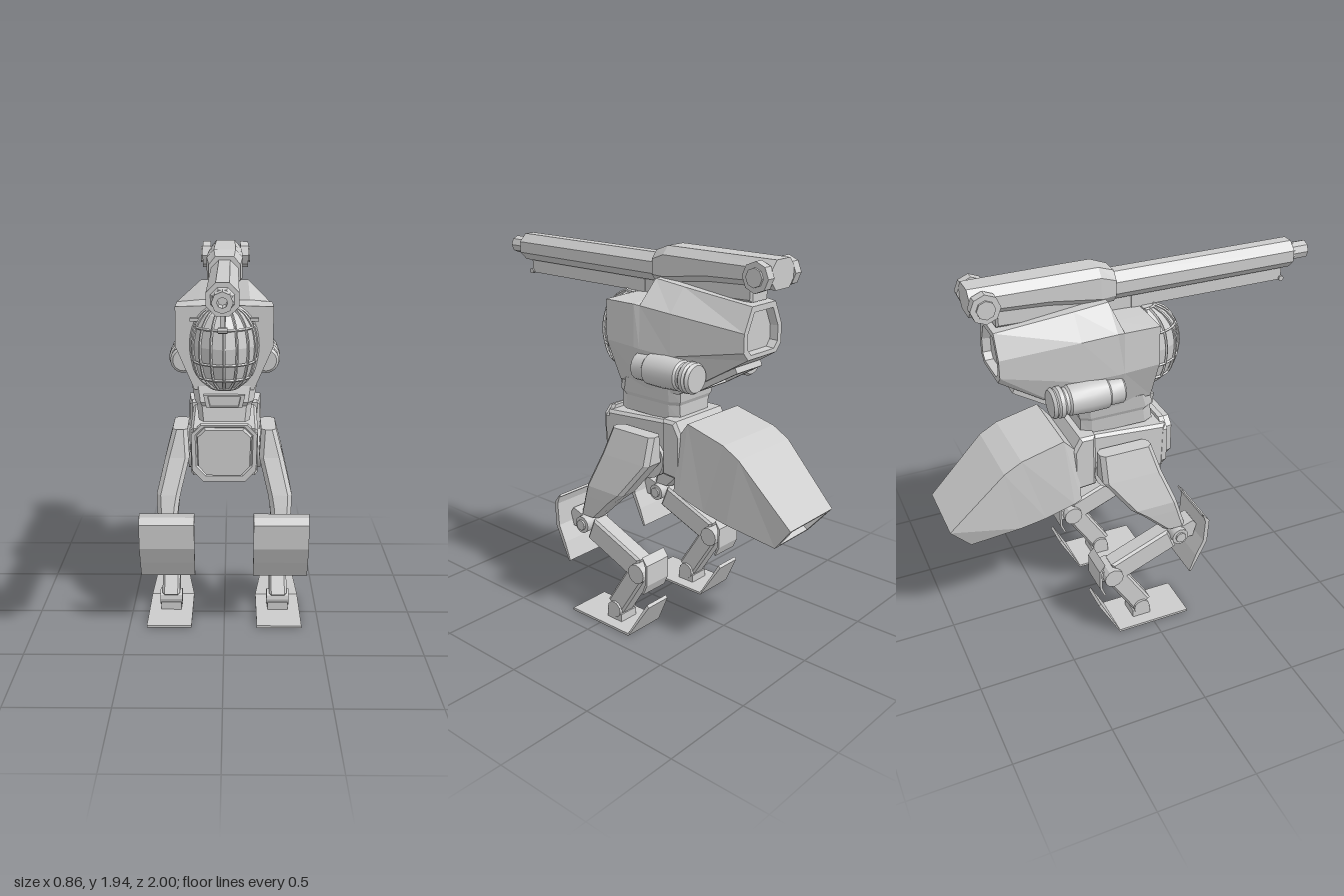
import * as THREE from 'three';
import { toCreasedNormals } from 'three/addons/utils/BufferGeometryUtils.js';

const mat = new THREE.MeshStandardMaterial({ color: 0xcccccc, flatShading: true, side: THREE.DoubleSide });
const smooth = new THREE.MeshStandardMaterial({ color: 0xcccccc, side: THREE.DoubleSide });

function add(parent, name, geo, m = mat) {
  const mesh = new THREE.Mesh(geo, m);
  mesh.name = name;
  parent.add(mesh);
  return mesh;
}

// Skin a list of equal-length rings of [x, y, z] and cap both ends
function loft(rings) {
  const tris = [], n = rings[0].length;
  for (let r = 0; r < rings.length - 1; r++)
    for (let i = 0; i < n; i++) {
      const j = (i + 1) % n, a = rings[r], b = rings[r + 1];
      tris.push([a[i], a[j], b[j]], [a[i], b[j], b[i]]);
    }
  const first = rings[0], last = rings[rings.length - 1];
  for (let i = 1; i < n - 1; i++)
    tris.push([first[0], first[i + 1], first[i]], [last[0], last[i], last[i + 1]]);
  // Turn the faces outward if the enclosed volume is negative
  const v = (p) => new THREE.Vector3(...p);
  const vol = tris.reduce((s, [a, b, c]) => s + v(a).dot(v(b).cross(v(c))), 0);
  if (vol < 0) tris.forEach((t) => t.reverse());
  const g = new THREE.BufferGeometry();
  g.setAttribute('position', new THREE.Float32BufferAttribute(tris.flat(2), 3));
  g.computeVertexNormals();
  return g;
}

// Mirror a half outline into a full ring
const mirrorRing = (half) => [...half, ...half.map(([x, y, z]) => [-x, y, z]).reverse()];

// Copy of a ring shrunk about its centre and shifted
function inset(ring, k, dy = 0, dz = 0) {
  const c = [0, 1, 2].map((a) => ring.reduce((s, p) => s + p[a], 0) / ring.length);
  return ring.map((p) => [c[0] + (p[0] - c[0]) * k, c[1] + (p[1] - c[1]) * k + dy, c[2] + (p[2] - c[2]) * k + dz]);
}

// Side profile of [z, y] points extruded across x, with a small chamfer
function side(profile, x, width, bevel = 0) {
  const shape = new THREE.Shape(profile.map((p) => new THREE.Vector2(...p)));
  const depth = width - 2 * bevel;
  const g = new THREE.ExtrudeGeometry(shape, { depth, bevelEnabled: bevel > 0, bevelSize: bevel, bevelOffset: -bevel, bevelThickness: bevel, bevelSegments: 1 });
  return g.rotateY(-Math.PI / 2).translate(x + depth / 2, 0, 0);
}

const box = (w, h, d, x, y, z) => new THREE.BoxGeometry(w, h, d).translate(x, y, z);
const rodX = (r, w, x, y, z, n = 16) => new THREE.CylinderGeometry(r, r, w, n).rotateZ(Math.PI / 2).translate(x, y, z);
const rodZ = (r1, r0, z0, z1, y, n = 8) =>
  new THREE.CylinderGeometry(r1, r0, z1 - z0, n).rotateY(Math.PI / n).rotateX(Math.PI / 2).translate(0, y, (z0 + z1) / 2);

// Limb segment: chamfered bar between two [z, y] joints
function limb(a, b, x, w, h) {
  const dz = b[0] - a[0], dy = b[1] - a[1], l = Math.hypot(dz, dy), nz = -dy / l * h / 2, ny = dz / l * h / 2;
  return side([[a[0] + nz, a[1] + ny], [b[0] + nz, b[1] + ny], [b[0] - nz, b[1] - ny], [a[0] - nz, a[1] - ny]], x, w, 0.012);
}

function buildTorso(g) {
  // Rows: z, roof x/y, shoulder x/y, waist x/y, belly x/y
  const hull = [
    [0.08, 0.10, 1.685, 0.245, 1.68, 0.245, 1.48, 0.15, 1.26],
    [-0.10, 0.13, 1.69, 0.245, 1.68, 0.245, 1.47, 0.16, 1.25],
    [-0.13, 0.12, 1.79, 0.235, 1.675, 0.24, 1.465, 0.16, 1.25],
    [-0.30, 0.115, 1.77, 0.21, 1.655, 0.21, 1.45, 0.15, 1.25],
    [-0.68, 0.09, 1.725, 0.145, 1.61, 0.145, 1.52, 0.11, 1.48],
  ].map(([z, ...p]) => mirrorRing([0, 2, 4, 6].map((i) => [p[i], p[i + 1], z])));
  const back = hull[4];
  add(g, 'torso', loft([...hull, inset(back, 0.8), inset(back, 0.76, 0, 0.04)]));

  // Hatch on the sloping underside
  const hatch = mirrorRing([[0.10, 1.43, -0.60], [0.125, 1.29, -0.36]]);
  add(g, 'rearHatch', loft([hatch, inset(hatch, 0.97, -0.025, -0.015), inset(hatch, 0.75, -0.025, -0.015), inset(hatch, 0.72, 0.003, 0)]));

  // Neck with chin panel
  const neck = [[1.28, 0.165, 0.08, -0.30], [1.20, 0.15, 0.105, -0.29], [1.18, 0.14, 0.095, -0.28], [1.10, 0.13, 0.11, -0.28]];
  add(g, 'neck', loft(neck.map(([y, x, zf, zb]) => mirrorRing([[x * 0.8, y, zf], [x, y, zf - 0.05], [x, y, zb + 0.05], [x * 0.8, y, zb]]))));
  const chin = mirrorRing([[0.105, 1.24, 0.09], [0.09, 1.175, 0.09]]);
  add(g, 'chinPanel', loft([chin, inset(chin, 1, 0, 0.03), inset(chin, 0.8, 0, 0.03), inset(chin, 0.78, 0, 0.018)]));

  // Side canisters
  const can = [[0, 0], [0.055, 0], [0.068, 0.012], [0.068, 0.08], [0.078, 0.09], [0.08, 0.18], [0.075, 0.28], [0.066, 0.29],
    [0.066, 0.305], [0.077, 0.315], [0.077, 0.335], [0.068, 0.345], [0.076, 0.355], [0.066, 0.37], [0, 0.37]];
  for (const s of [-1, 1]) {
    const geo = new THREE.LatheGeometry(can.map((p) => new THREE.Vector2(...p)), 18).rotateX(-Math.PI / 2).translate(s * 0.215, 1.375, -0.1);
    add(g, 'sideCanister', toCreasedNormals(geo, 0.6), smooth);
  }
}

function buildCockpit(g) {
  // Faceted half dome with an outer cage of ribs
  const prof = [[0, 1.28], [0.07, 1.28], [0.135, 1.34], [0.16, 1.42], [0.167, 1.5], [0.15, 1.59], [0.11, 1.65], [0.06, 1.685], [0, 1.685]];
  const kz = 1.2, z0 = 0.085, n = 8;
  const glass = new THREE.LatheGeometry(prof.map((p) => new THREE.Vector2(p[0] * 0.97, p[1])), n, -Math.PI / 2, Math.PI);
  add(g, 'cockpitDome', glass.scale(1, 1, kz).translate(0, 0, z0));
  const at = (r, y, a) => new THREE.Vector3(r * Math.sin(a), y, z0 + r * Math.cos(a) * kz);
  const rib = (pts) => add(g, 'cockpitRib', new THREE.TubeGeometry(new THREE.CatmullRomCurve3(pts), 16, 0.007, 4));
  const angles = [...Array(n + 1).keys()].map((i) => -Math.PI / 2 + i * Math.PI / n);
  angles.forEach((a) => rib(prof.slice(1, -1).map(([r, y]) => at(r, y, a))));
  [1, 2, 3, 5, 7].forEach((i) => rib(angles.map((a) => at(...prof[i], a))));
  // Short barbs at the brow and a stud above the dome
  for (const s of [-1, 1]) add(g, 'browBarb', box(0.04, 0.015, 0.03, s * 0.15, 1.62, 0.1));
  add(g, 'browStud', box(0.03, 0.07, 0.05, 0, 1.715, 0.06));
}

function buildGun(g) {
  add(g, 'barrel', rodZ(0.075, 0.075, -0.1, 0.9, 1.825));
  add(g, 'muzzleCollar', rodZ(0.045, 0.058, 0.89, 0.925, 1.825));
  const bore = [[0.02, 0], [0.045, 0], [0.045, 0.09], [0.022, 0.09], [0.02, 0]].map((p) => new THREE.Vector2(...p));
  add(g, 'muzzle', new THREE.LatheGeometry(bore, 8).rotateX(Math.PI / 2).translate(0, 1.825, 0.91));
  add(g, 'underRail', box(0.022, 0.09, 0.97, 0, 1.73, 0.385));
  add(g, 'railStop', rodX(0.014, 0.04, 0, 1.692, 0.87, 8));
  // Breech housing: rows of z, bottom, top, half width
  const rows = [[-0.07, 1.755, 1.91, 0.08], [-0.15, 1.755, 1.94, 0.092], [-0.4, 1.79, 1.94, 0.092], [-0.775, 1.805, 1.94, 0.085]];
  add(g, 'breech', loft(rows.map(([z, b, t, w]) => mirrorRing([[w * 0.6, t, z], [w, t - 0.04, z], [w, b + 0.04, z], [w * 0.6, b, z]]))));
  add(g, 'gunMount', side([[-0.12, 1.72], [-0.12, 1.79], [-0.3, 1.83], [-0.655, 1.83], [-0.655, 1.735]], 0, 0.13, 0.01));
  for (const s of [-1, 1]) {
    add(g, 'breechDrum', rodX(0.072, 0.045, s * 0.105, 1.865, -0.715, 8));
    add(g, 'drumCap', rodX(0.045, 0.02, s * 0.128, 1.865, -0.715, 8));
  }
}

function buildPelvis(g) {
  add(g, 'pelvis', side([[0.15, 0.83], [0.16, 1.08], [-0.25, 1.11], [-0.25, 0.86], [-0.1, 0.83]], 0, 0.34, 0.015));
  add(g, 'hipDrum', toCreasedNormals(rodX(0.105, 0.38, 0, 0.895, -0.135, 24), 0.6), smooth);
  // Framed octagonal front plate
  const face = mirrorRing([[0.12, 1.1, 0.14], [0.17, 1.05, 0.14], [0.165, 0.86, 0.14], [0.11, 0.8, 0.14]]);
  add(g, 'frontPlate', loft([face, inset(face, 0.98, 0, 0.03), inset(face, 0.86, 0.01, 0.03), inset(face, 0.82, 0.01, 0.022), inset(face, 0.78, 0.015, 0.07)]));
  // Tail mount and tail pod: rows of top z/y, bottom z/y, top and bottom half width
  add(g, 'tailMount', side([[-0.23, 0.83], [-0.23, 1.12], [-0.31, 1.12], [-0.35, 1.05], [-0.35, 0.82]], 0, 0.38, 0.015));
  const pod = [
    [-0.32, 1.04, -0.32, 0.77, 0.17, 0.2], [-0.40, 1.135, -0.36, 0.76, 0.195, 0.21],
    [-0.62, 1.08, -0.51, 0.71, 0.2, 0.2], [-0.71, 1.03, -0.64, 0.68, 0.2, 0.19], [-0.995, 0.75, -0.89, 0.62, 0.175, 0.14],
  ].map(([tz, ty, bz, by, tw, bw]) => mirrorRing([[tw, ty, tz], [bw, by, bz]]));
  const end = pod[4];
  add(g, 'tailPod', loft([...pod, inset(end, 0.82), inset(end, 0.78, 0.05, 0.06)]));
}

function buildLeg(s) {
  const leg = new THREE.Group();
  leg.name = s > 0 ? 'leftLeg' : 'rightLeg';
  const x = s * 0.29;
  // Thigh: rows of y, front z, back z, inner x, outer x
  const rows = [[1.04, 0.04, -0.235, 0.19, 0.268], [0.9, 0.08, -0.235, 0.18, 0.305], [0.72, 0.15, -0.1, 0.225, 0.348], [0.66, 0.17, -0.03, 0.235, 0.345], [0.54, 0.21, 0.09, 0.245, 0.335]];
  add(leg, 'thigh', loft(rows.map(([y, f, b, i, o]) => {
    const c = 0.022;
    return [[i, f - c], [i + c, f], [o - c, f], [o, f - c], [o, b + c], [o - c, b], [i + c, b], [i, b + c]].map(([px, z]) => [s * px, y, z]);
  })));
  add(leg, 'kneeJoint', toCreasedNormals(rodX(0.045, 0.15, x, 0.495, 0.165), 0.6), smooth);
  add(leg, 'kneePin', rodX(0.028, 0.17, x, 0.495, 0.165, 10));
  add(leg, 'kneeBracket', side([[0.16, 0.53], [0.25, 0.56], [0.27, 0.53], [0.25, 0.46], [0.16, 0.46]], x, 0.1));
  add(leg, 'kneeGuard', side([[0.25, 0.65], [0.295, 0.61], [0.287, 0.48], [0.245, 0.39], [0.2, 0.3], [0.19, 0.305],
    [0.225, 0.4], [0.265, 0.485], [0.273, 0.605], [0.255, 0.66]].reverse(), x, 0.28));
  add(leg, 'upperShin', limb([0.13, 0.475], [-0.19, 0.345], x, 0.1, 0.13));
  add(leg, 'hockJoint', rodX(0.052, 0.14, x, 0.335, -0.21, 12));
  add(leg, 'hockBracket', box(0.07, 0.06, 0.08, x, 0.335, -0.25));
  add(leg, 'hockGuard', side([[-0.265, 0.45], [-0.295, 0.41], [-0.295, 0.3], [-0.27, 0.245], [-0.262, 0.25], [-0.283, 0.305], [-0.283, 0.4]], x, 0.16));
  add(leg, 'lowerShin', limb([-0.185, 0.315], [-0.035, 0.075], x, 0.095, 0.11));
  add(leg, 'ankleJoint', rodX(0.044, 0.12, x, 0.07, -0.045, 12));
  add(leg, 'ankleBlock', box(0.11, 0.05, 0.1, x, 0.03, -0.045));
  // Foot plate with a raised heel: rows of z, y, half width
  const foot = [[0.2, 0, 0.118], [-0.2, 0, 0.118], [-0.3, 0.178, 0.072]];
  add(leg, 'foot', loft(foot.map(([z, y, w], i) => {
    const dz = i === 2 ? 0.011 : 0;
    return [[x - w, y, z], [x + w, y, z], [x + w, y + 0.013, z + dz], [x - w, y + 0.013, z + dz]];
  })));
  return leg;
}

export function createModel() {
  const model = new THREE.Group();
  model.name = 'walker';
  const parts = { upperBody: [buildTorso, buildCockpit], gun: [buildGun], lowerBody: [buildPelvis] };
  for (const [name, builders] of Object.entries(parts)) {
    const g = new THREE.Group();
    g.name = name;
    builders.forEach((b) => b(g));
    model.add(g);
  }
  model.add(buildLeg(1), buildLeg(-1));
  return model;
}
